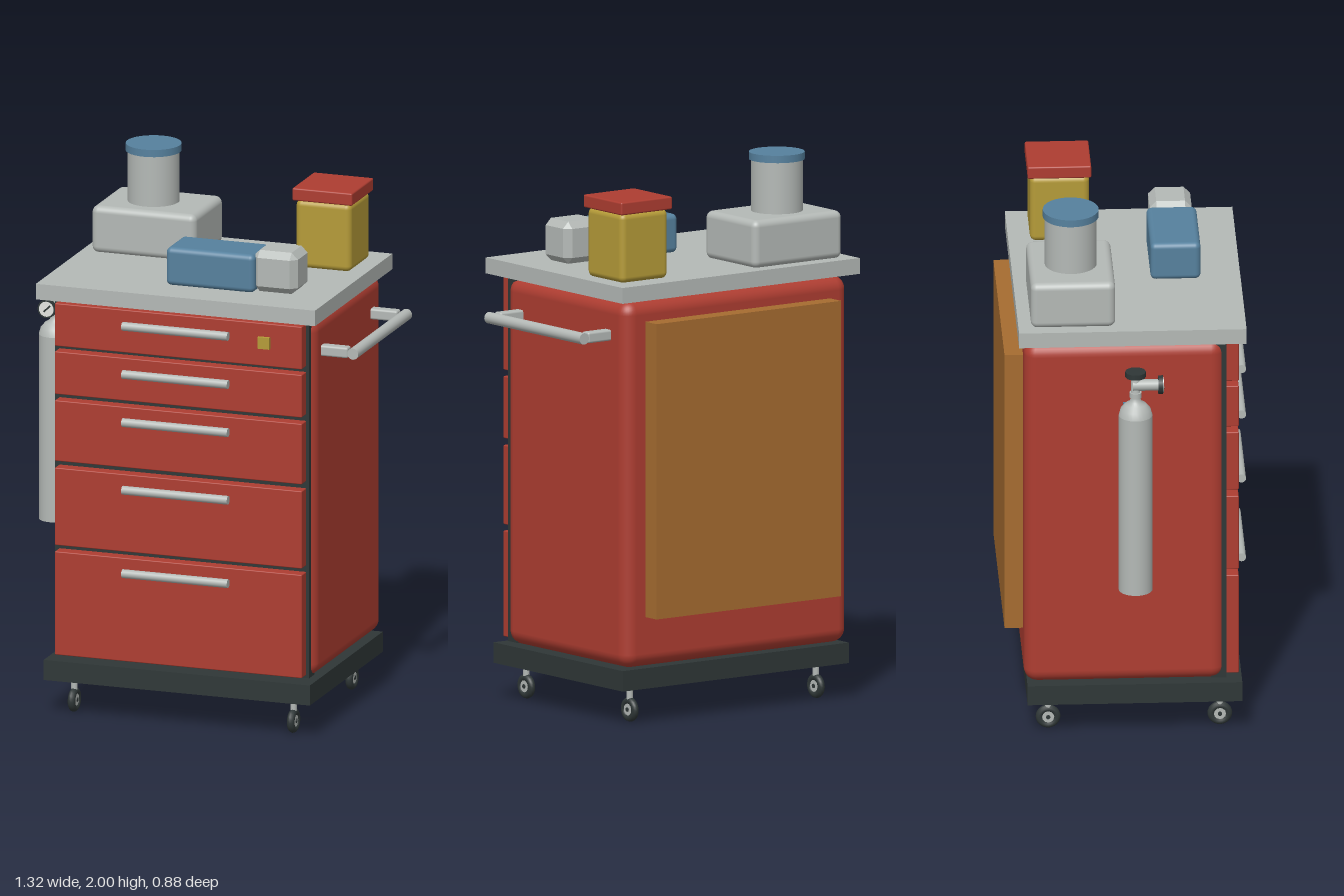
import * as THREE from 'three';
import { RoundedBoxGeometry } from 'three/addons/geometries/RoundedBoxGeometry.js';
import { ConvexGeometry } from 'three/addons/geometries/ConvexGeometry.js';

const paint = (name, color) => {
  const m = new THREE.MeshStandardMaterial({ color });
  m.name = name;
  return m;
};

export function createModel() {
  const red = paint('red enamel', 0xae3d31);
  const grey = paint('brushed steel', 0xb4b9b6);
  const dark = paint('dark trim', 0x2f3737);
  const blue = paint('blue', 0x56819e);
  const yellow = paint('yellow', 0xb59b38);
  const wood = paint('wood board', 0xa66c30);
  const white = paint('gauge face', 0xe4e6e2);

  const model = new THREE.Group();
  model.name = 'toolTrolley';

  const add = (name, geometry, material, x = 0, y = 0, z = 0, parent = model) => {
    const mesh = new THREE.Mesh(geometry, material);
    mesh.name = name;
    mesh.position.set(x, y, z);
    parent.add(mesh);
    return mesh;
  };
  // Box given by its extents; a radius rounds its edges
  const box = (name, material, [x0, x1], [y0, y1], [z0, z1], radius = 0, parent = model) => {
    const s = [x1 - x0, y1 - y0, z1 - z0];
    const g = radius ? new RoundedBoxGeometry(...s, 4, radius) : new THREE.BoxGeometry(...s);
    return add(name, g, material, (x0 + x1) / 2, (y0 + y1) / 2, (z0 + z1) / 2, parent);
  };
  // Cylinder along a chosen axis
  const rod = (name, material, axis, r, length, x, y, z, parent = model, sides = 20) => {
    const g = new THREE.CylinderGeometry(r, r, length, sides);
    if (axis === 'x') g.rotateZ(Math.PI / 2);
    if (axis === 'z') g.rotateX(Math.PI / 2);
    return add(name, g, material, x, y, z, parent);
  };

  // Cabinet, plinth and worktop
  box('cabinetBody', red, [-0.5, 0.51], [0.21, 1.55], [-0.375, 0.35], 0.05);
  box('drawerFrame', dark, [-0.483, 0.492], [0.215, 1.545], [0.3, 0.355]);
  box('basePlate', dark, [-0.505, 0.515], [0.13, 0.205], [-0.363, 0.412]);
  box('worktop', grey, [-0.53, 0.54], [1.555, 1.613], [-0.395, 0.426]);
  box('backBoard', wood, [-0.411, 0.422], [0.395, 1.475], [-0.442, -0.37]);

  // Drawers: bottom, top and handle height
  const drawers = [
    [1.38, 1.54, 1.485], [1.2, 1.36, 1.305], [0.95, 1.177, 1.125],
    [0.635, 0.925, 0.872], [0.225, 0.612, 0.56],
  ];
  for (const [bottom, top, handleY] of drawers) {
    const drawer = new THREE.Group();
    drawer.name = 'drawer';
    model.add(drawer);
    box('drawerFront', red, [-0.467, 0.48], [bottom, top], [0.35, 0.401], 0.004, drawer);
    rod('drawerHandle', grey, 'x', 0.016, 0.405, 0.004, handleY, 0.424, drawer);
    for (const x of [-0.15, 0.158]) rod('handleMount', grey, 'z', 0.007, 0.03, x, handleY, 0.41, drawer, 10);
  }
  box('lock', yellow, [0.315, 0.36], [1.447, 1.49], [0.39, 0.415]);

  // Push handle on the left side
  rod('pushBar', grey, 'z', 0.021, 0.572, 0.633, 1.422, -0.003);
  for (const z of [-0.266, 0.26]) {
    box('pushBarMount', grey, [0.49, 0.612], [1.402, 1.442], [z - 0.02, z + 0.02], 0.008);
  }

  // Casters
  for (const x of [-0.415, 0.425]) for (const z of [-0.285, 0.335]) {
    const caster = new THREE.Group();
    caster.name = 'caster';
    caster.position.set(x, 0.046, z);
    model.add(caster);
    const tyre = new THREE.TorusGeometry(0.031, 0.014, 10, 24).rotateY(Math.PI / 2);
    add('tyre', tyre, dark, 0, 0, 0, caster);
    rod('hub', grey, 'x', 0.022, 0.02, 0, 0, 0, caster, 12);
    rod('axle', dark, 'x', 0.008, 0.026, 0, 0, 0, caster, 10);
    rod('stem', grey, 'y', 0.012, 0.055, 0, 0.06, 0, caster, 12);
  }

  // Gas cylinder on the right side
  const gas = new THREE.Group();
  gas.name = 'gasCylinder';
  gas.position.set(-0.6, 0, 0.022);
  model.add(gas);
  box('cylinderBracket', blue, [-0.555, -0.495], [0.705, 1.32], [-0.018, 0.06]);
  const profile = [
    [0, 0.625], [0.061, 0.625], [0.061, 0.625], [0.061, 1.315], [0.061, 1.315], [0.054, 1.34],
    [0.038, 1.358], [0.022, 1.368], [0.016, 1.385], [0.016, 1.468], [0, 1.468],
  ].map(([r, y]) => new THREE.Vector2(r, y));
  add('bottle', new THREE.LatheGeometry(profile, 28), grey, 0, 0, 0, gas);
  rod('collar', grey, 'y', 0.022, 0.02, 0, 1.395, 0, gas);
  rod('valveKnob', dark, 'y', 0.038, 0.02, 0, 1.476, 0, gas, 10);
  rod('gaugeStem', grey, 'z', 0.021, 0.1, 0, 1.432, 0.04, gas);
  rod('gaugeCase', dark, 'z', 0.034, 0.017, 0, 1.432, 0.09, gas);
  rod('gaugeFace', white, 'z', 0.028, 0.004, 0, 1.432, 0.099, gas);
  const needle = add('gaugeNeedle', new THREE.BoxGeometry(0.006, 0.034, 0.003), dark, 0.003, 1.434, 0.1015, gas);
  needle.rotation.z = -0.8;

  // Machine with a round column and cap
  box('machineBase', grey, [-0.49, -0.09], [1.61, 1.785], [-0.35, -0.045], 0.025);
  rod('machineColumn', grey, 'y', 0.094, 0.21, -0.304, 1.872, -0.198, model, 32);
  rod('machineCap', blue, 'y', 0.101, 0.027, -0.304, 1.9865, -0.198, model, 32);

  // Canister with a square lid
  box('canister', yellow, [0.272, 0.484], [1.611, 1.865], [-0.317, -0.103], 0.022);
  box('canisterLid', red, [0.263, 0.493], [1.863, 1.91], [-0.326, -0.096], 0.006);

  // Motor unit with a chamfered head
  box('motorBody', blue, [-0.086, 0.253], [1.611, 1.753], [0.101, 0.282], 0.02);
  const half = [0.085, 0.077, 0.076];
  const corners = [];
  for (const sx of [-1, 1]) for (const sy of [-1, 1]) for (const sz of [-1, 1]) for (let k = 0; k < 3; k++) {
    const c = half.map((h, i) => (i === k ? h : h - 0.024));
    corners.push(new THREE.Vector3(c[0] * sx, c[1] * sy, c[2] * sz));
  }
  add('motorHead', new ConvexGeometry(corners), grey, 0.323, 1.69, 0.19);

  return model;
}
